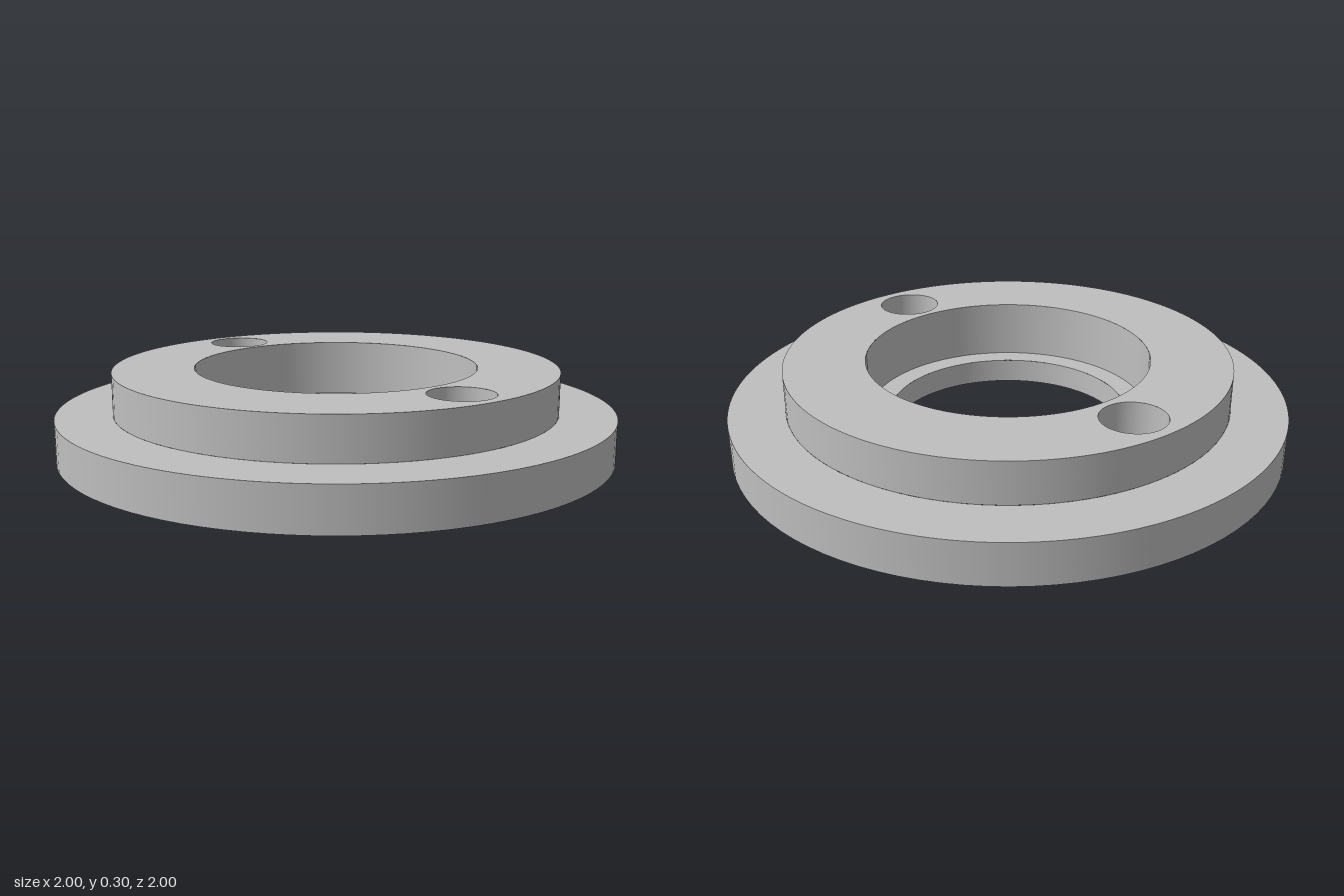
import * as THREE from 'three';

const SEG = 96;
const OUTER = 1, BOSS = 0.8, BORE = 0.51, THROUGH = 0.43; // radii
const LEDGE_Y = 0.09, FLANGE_Y = 0.15, TOP_Y = 0.3; // heights
const BOLT_X = 0.65, BOLT_R = 0.113;

export function createModel() {
  const group = new THREE.Group();
  const grey = new THREE.MeshStandardMaterial({ color: 0xbfbfbf });
  grey.name = 'plain grey';

  function add(name, geometry, x = 0) {
    const mesh = new THREE.Mesh(geometry, grey);
    mesh.name = name;
    mesh.position.x = x;
    group.add(mesh);
  }

  // Round wall: faces outward when yStart < yEnd, inward when reversed
  function wall(name, r, yStart, yEnd, x = 0) {
    const profile = [new THREE.Vector2(r, yStart), new THREE.Vector2(r, yEnd)];
    add(name, new THREE.LatheGeometry(profile, SEG), x);
  }

  // Flat ring, optionally pierced by the two bolt holes
  function ring(name, rOut, rIn, y, up, bolts) {
    const shape = new THREE.Shape().absarc(0, 0, rOut, 0, Math.PI * 2);
    const circles = [[0, rIn]];
    if (bolts) circles.push([BOLT_X, BOLT_R], [-BOLT_X, BOLT_R]);
    for (const [x, r] of circles) {
      shape.holes.push(new THREE.Path().absarc(x, 0, r, 0, Math.PI * 2));
    }
    const geometry = new THREE.ShapeGeometry(shape, SEG);
    geometry.rotateX(up ? -Math.PI / 2 : Math.PI / 2);
    geometry.translate(0, y, 0);
    add(name, geometry);
  }

  // Flange and raised boss
  ring('flangeBottom', OUTER, THROUGH, 0, false, true);
  wall('flangeRim', OUTER, 0, FLANGE_Y);
  ring('flangeTop', OUTER, BOSS, FLANGE_Y, true, false);
  wall('bossRim', BOSS, FLANGE_Y, TOP_Y);
  ring('bossTop', BOSS, BORE, TOP_Y, true, true);

  // Stepped central bore
  wall('counterboreWall', BORE, TOP_Y, LEDGE_Y);
  ring('counterboreLedge', BORE, THROUGH, LEDGE_Y, true, false);
  wall('throughHoleWall', THROUGH, LEDGE_Y, 0);

  // Bolt holes
  wall('leftBoltHole', BOLT_R, TOP_Y, 0, BOLT_X);
  wall('rightBoltHole', BOLT_R, TOP_Y, 0, -BOLT_X);

  return group;
}
